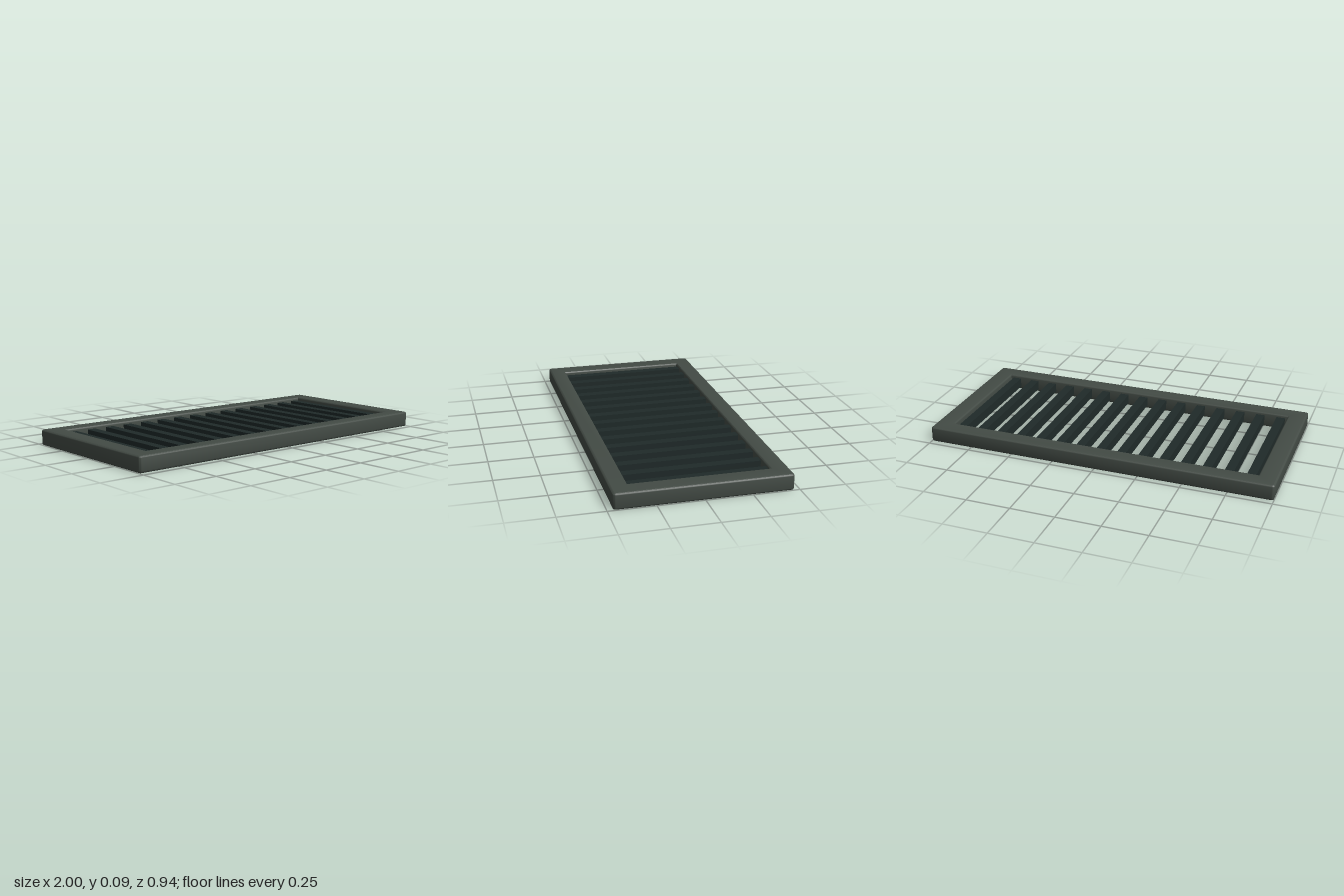
import * as THREE from 'three';
import { toCreasedNormals } from 'three/addons/utils/BufferGeometryUtils.js';

const HEIGHT = 0.088, BEVEL = 0.01;

// Rectangle outline with small rounded corners
function roundedRect(path, hx, hz, r) {
  path.moveTo(-hx + r, -hz);
  path.lineTo(hx - r, -hz);
  path.quadraticCurveTo(hx, -hz, hx, -hz + r);
  path.lineTo(hx, hz - r);
  path.quadraticCurveTo(hx, hz, hx - r, hz);
  path.lineTo(-hx + r, hz);
  path.quadraticCurveTo(-hx, hz, -hx, hz - r);
  path.lineTo(-hx, -hz + r);
  path.quadraticCurveTo(-hx, -hz, -hx + r, -hz);
  return path;
}

function rectangle(path, hx, hz) {
  path.moveTo(-hx, -hz);
  path.lineTo(-hx, hz);
  path.lineTo(hx, hz);
  path.lineTo(hx, -hz);
  path.closePath();
  return path;
}

export function createModel() {
  const model = new THREE.Group();
  model.name = 'ventGrille';

  const frameMetal = new THREE.MeshStandardMaterial({ color: 0x434b45 });
  frameMetal.name = 'frameGrey';
  const slatMetal = new THREE.MeshStandardMaterial({ color: 0x1f2a29 });
  slatMetal.name = 'slatDark';

  // Rectangular frame with softened edges around one opening
  const outline = roundedRect(new THREE.Shape(), 1 - BEVEL, 0.47 - BEVEL, 0.005);
  outline.holes.push(rectangle(new THREE.Path(), 0.895 + BEVEL, 0.375 + BEVEL));
  const frameGeometry = new THREE.ExtrudeGeometry(outline, {
    depth: HEIGHT - 2 * BEVEL,
    bevelThickness: BEVEL,
    bevelSize: BEVEL,
    bevelSegments: 3,
    curveSegments: 3,
  });
  frameGeometry.rotateX(-Math.PI / 2).translate(0, BEVEL, 0);
  const frame = new THREE.Mesh(toCreasedNormals(frameGeometry, 0.7), frameMetal);
  frame.name = 'frame';
  model.add(frame);

  // Upright slats across the opening, ends set into the frame
  const slats = new THREE.Group();
  slats.name = 'slats';
  const slatGeometry = new THREE.BoxGeometry(0.05, 0.054, 0.78);
  for (let i = -7; i <= 7; i++) {
    const slat = new THREE.Mesh(slatGeometry, slatMetal);
    slat.name = 'slat';
    slat.position.set(i * 0.122, HEIGHT / 2, 0);
    slats.add(slat);
  }
  model.add(slats);

  return model;
}
